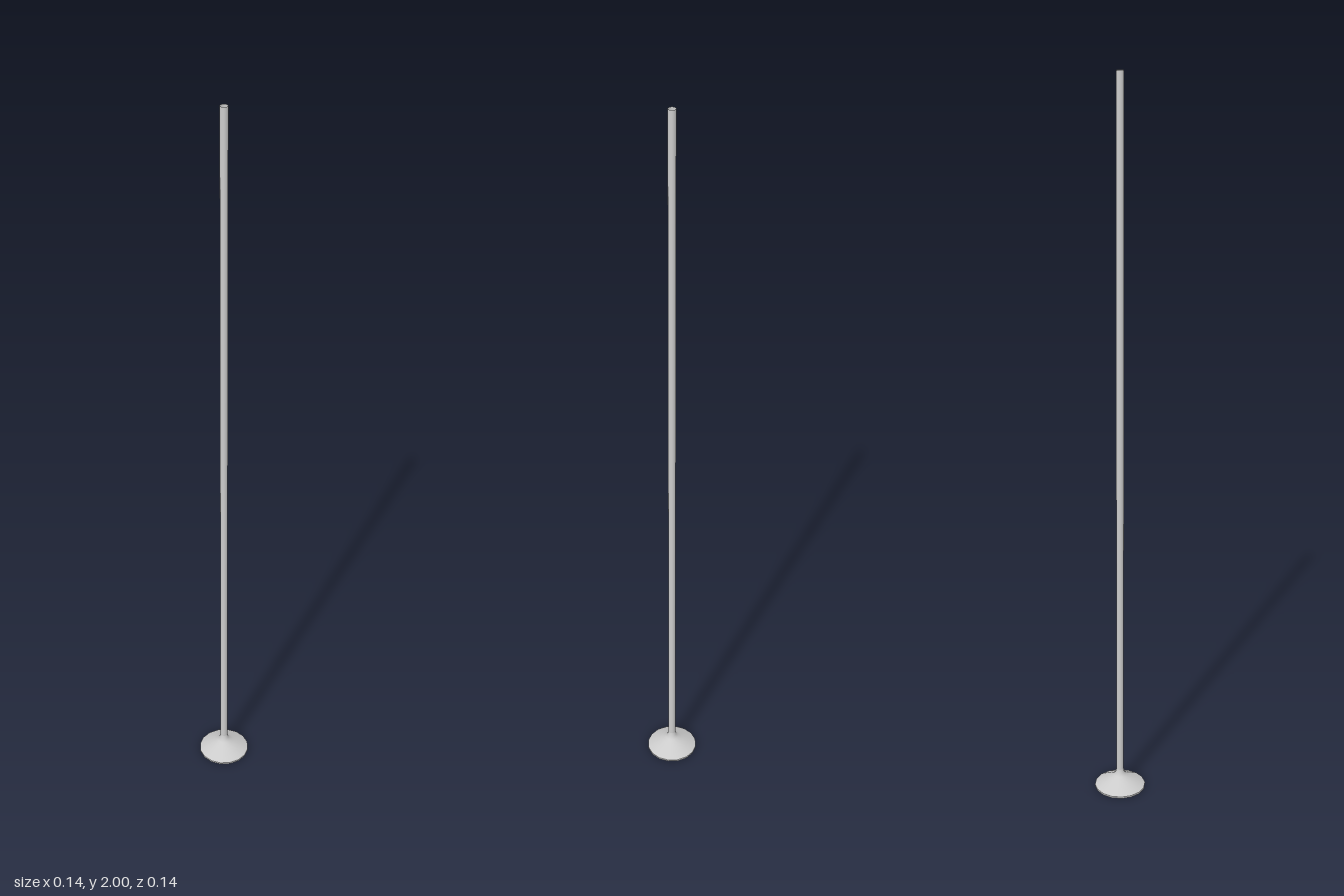
import * as THREE from 'three';

const SIDES = 16;

// Open, thin surface of revolution from [radius, height] pairs, bottom to top
function turned(name, profile, material) {
  const points = profile.map(([r, y]) => new THREE.Vector2(r, y));
  const mesh = new THREE.Mesh(new THREE.LatheGeometry(points, SIDES), material);
  mesh.name = name;
  return mesh;
}

export function createModel() {
  const group = new THREE.Group();
  group.name = 'poleStand';
  const material = new THREE.MeshStandardMaterial({ color: 0xcccccc, side: THREE.DoubleSide });

  // Flared foot, hollow underneath, with a thin rim
  group.add(turned('baseRim', [[0.071, 0], [0.071, 0.005]], material));
  group.add(turned('base', [
    [0.071, 0.005], [0.05, 0.017], [0.03, 0.028], [0.018, 0.036], [0.012, 0.044], [0.01, 0.055],
  ], material));

  // Long hollow pole, open at the top
  group.add(turned('pole', [[0.01, 0.055], [0.01, 2]], material));

  return group;
}
